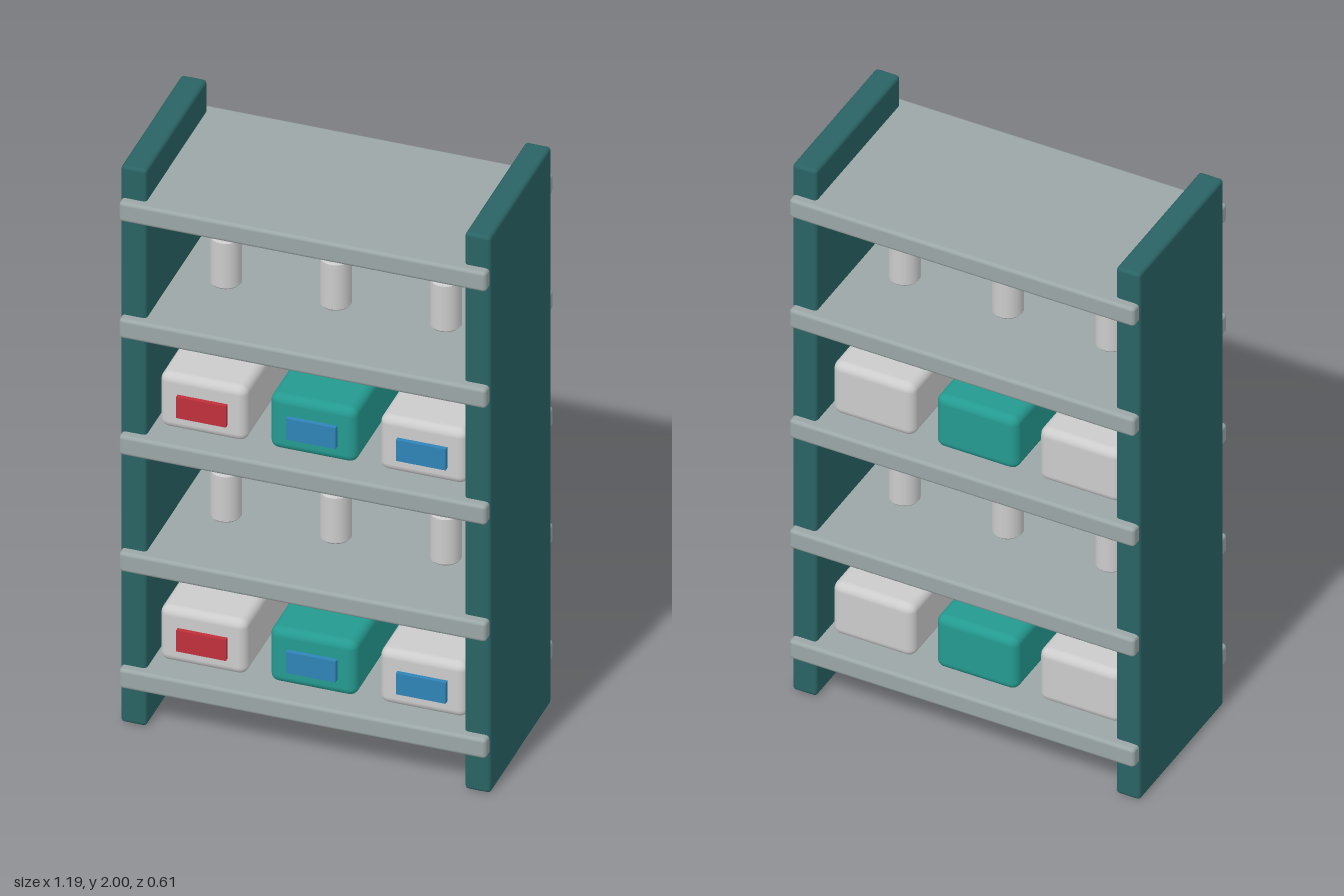
import * as THREE from 'three';
import { RoundedBoxGeometry } from 'three/addons/geometries/RoundedBoxGeometry.js';

const material = (color) => new THREE.MeshStandardMaterial({ color });
const mats = {
  panel: material(0x2a6364),
  shelf: material(0x9ba6a6),
  grey: material(0xcccccc),
  teal: material(0x249a90),
  red: material(0xc0303a),
  blue: material(0x2f84b8),
};

function add(parent, name, geometry, mat, x, y, z) {
  const mesh = new THREE.Mesh(geometry, mat);
  mesh.name = name;
  mesh.position.set(x, y, z);
  parent.add(mesh);
  return mesh;
}

export function createModel() {
  const group = new THREE.Group();
  group.name = 'shelvingUnit';

  // Upright side panels
  const panelGeo = new RoundedBoxGeometry(0.083, 2, 0.546, 2, 0.012);
  for (const s of [-1, 1]) {
    add(group, s > 0 ? 'leftPanel' : 'rightPanel', panelGeo, mats.panel, s * 0.5525, 1, 0);
  }

  const shelfGeo = new RoundedBoxGeometry(1.18, 0.07, 0.606, 2, 0.012);
  const binGeo = new RoundedBoxGeometry(0.28, 0.195, 0.42, 3, 0.028);
  const labelGeo = new THREE.BoxGeometry(0.16, 0.075, 0.03);

  // Bottle body with softened rims, and its cap
  const bottleGeo = new THREE.LatheGeometry([
    [0, 0], [0.044, 0], [0.044, 0], [0.049, 0.006], [0.049, 0.006],
    [0.049, 0.166], [0.049, 0.166], [0.044, 0.172], [0.044, 0.172], [0, 0.172],
  ].map(([r, y]) => new THREE.Vector2(r, y)), 24);
  const capGeo = new THREE.CylinderGeometry(0.026, 0.026, 0.03, 20);

  const columns = [-0.353, 0, 0.353];
  for (let i = 0; i < 5; i++) {
    const y = 0.175 + i * 0.4195;
    const top = y + 0.035;
    add(group, 'shelf', shelfGeo, mats.shelf, 0, y, 0);
    if (i === 4) continue; // top shelf is empty

    columns.forEach((x, c) => {
      const item = new THREE.Group();
      item.position.set(x, top, 0);
      group.add(item);
      if (i % 2 === 0) {
        // Storage bin with a front label
        item.name = 'storageBin';
        add(item, 'binBody', binGeo, c === 1 ? mats.teal : mats.grey, 0, 0.0925, 0);
        add(item, 'binLabel', labelGeo, c === 0 ? mats.red : mats.blue, 0, 0.088, 0.21);
      } else {
        item.name = 'bottle';
        add(item, 'bottleBody', bottleGeo, mats.grey, 0, 0.003, 0);
        add(item, 'bottleCap', capGeo, mats.panel, 0, 0.188, 0);
      }
    });
  }
  return group;
}
